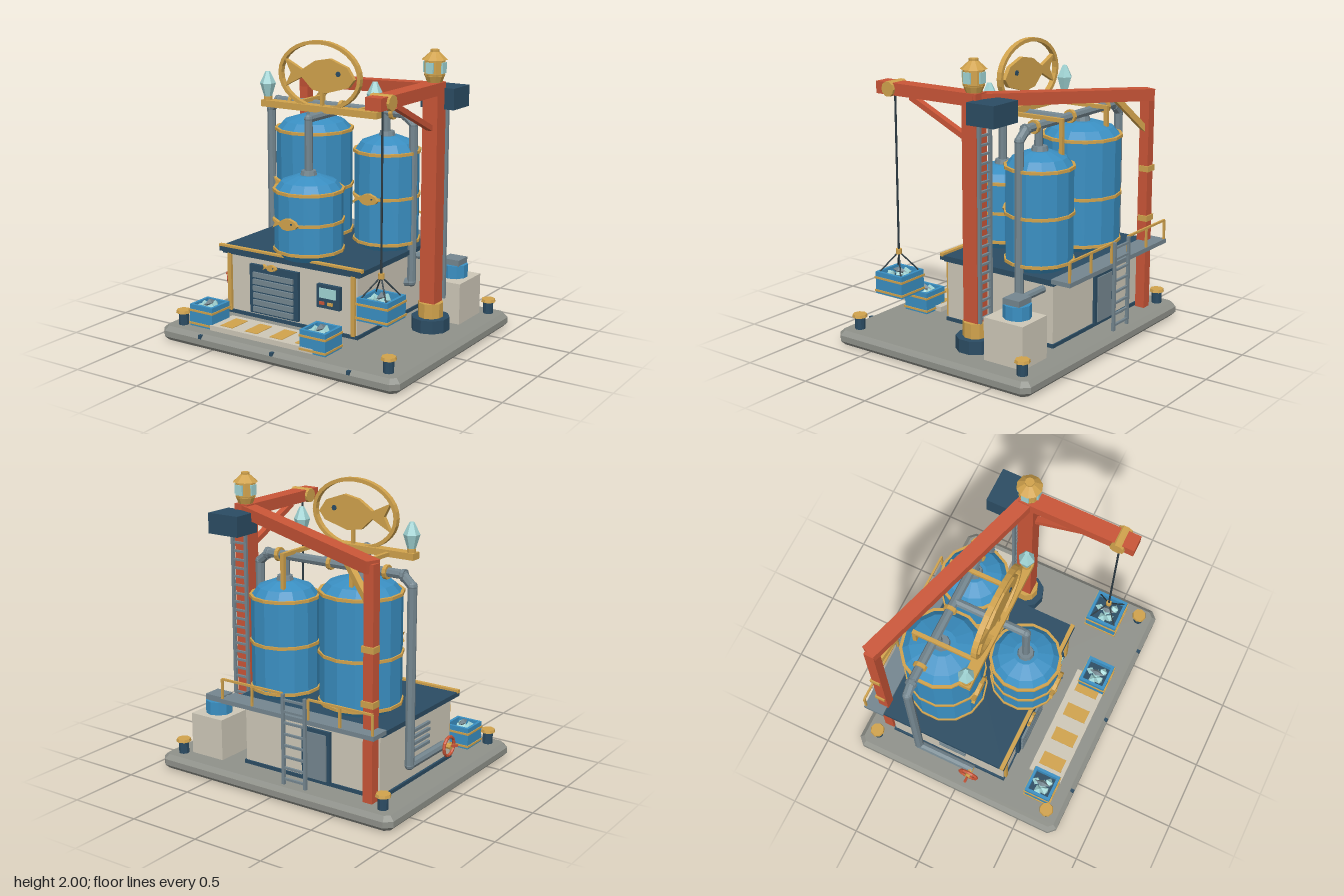
import * as THREE from 'three';

const RED = 0xc95537, GOLD = 0xd0a24c, NAVY = 0x2b4c63, BLUE = 0x3a8fc2, GREY = 0x74868f,
  BEIGE = 0xcdc7b7, STONE = 0x8f918a, ICE = 0xa0d4d4, DARK = 0x2c3a42;
const V = (x, y, z) => new THREE.Vector3(x, y, z);
const mats = {};
const mat = c => (mats[c] ??= new THREE.MeshStandardMaterial({ color: c, flatShading: true }));

export function createModel() {
  const root = new THREE.Group();
  const add = (name, geo, color, x = 0, y = 0, z = 0, parent = root) => {
    const m = new THREE.Mesh(geo, mat(color));
    m.name = name;
    m.position.set(x, y, z);
    parent.add(m);
    return m;
  };
  const group = name => {
    const g = new THREE.Group();
    g.name = name;
    root.add(g);
    return g;
  };
  // box given by its min and max corners
  const box = (name, color, x0, x1, y0, y1, z0, z1, parent) =>
    add(name, new THREE.BoxGeometry(x1 - x0, y1 - y0, z1 - z0), color,
      (x0 + x1) / 2, (y0 + y1) / 2, (z0 + z1) / 2, parent);
  // upright cylinder standing on y0
  const drum = (name, color, x, z, y0, y1, r0, r1 = r0, n = 10, parent = root) =>
    add(name, new THREE.CylinderGeometry(r1, r0, y1 - y0, n), color, x, (y0 + y1) / 2, z, parent);
  // rectangular bar between two points
  const beam = (name, color, a, b, w, h = w, parent = root) => {
    const m = add(name, new THREE.BoxGeometry(w, h, a.distanceTo(b)), color, 0, 0, 0, parent);
    m.position.copy(a).lerp(b, 0.5);
    m.lookAt(b);
    return m;
  };
  // round rods through a list of points, with ball joints at the bends
  const pipe = (name, color, pts, r, parent = root) => {
    pts.slice(1).forEach((b, i) => {
      const a = pts[i];
      const m = add(name, new THREE.CylinderGeometry(r, r, a.distanceTo(b), 8), color, 0, 0, 0, parent);
      m.position.copy(a).lerp(b, 0.5);
      m.quaternion.setFromUnitVectors(V(0, 1, 0), b.clone().sub(a).normalize());
      if (i > 0) add(name + 'Joint', new THREE.SphereGeometry(r * 1.08, 8, 6), color, a.x, a.y, a.z, parent);
    });
  };
  const ladder = (name, x, z, half, y0, y1, steps) => {
    const g = group(name);
    for (const s of [-1, 1]) box('rail', GREY, x + s * half - 0.01, x + s * half + 0.01, y0, y1, z - 0.01, z + 0.01, g);
    for (let i = 0; i < steps; i++) {
      const y = y0 + (i + 0.5) * (y1 - y0) / steps;
      box('rung', GREY, x - half, x + half, y - 0.007, y + 0.007, z - 0.008, z + 0.008, g);
    }
  };
  const fishShape = new THREE.Shape([[0.5, -0.02], [0.42, -0.12], [0.1, -0.21], [-0.1, -0.18], [-0.25, -0.04],
    [-0.5, -0.17], [-0.41, 0], [-0.5, 0.17], [-0.25, 0.05], [-0.06, 0.17], [0.15, 0.21], [0.4, 0.12]]
    .map(p => new THREE.Vector2(...p)));
  const fish = (name, x, y, z, len, depth) => {
    const m = add(name, new THREE.ExtrudeGeometry(fishShape, { depth: 1, bevelEnabled: false }), GOLD, x, y, z - depth / 2);
    m.scale.set(len, len, depth);
    const eye = add('fishEye', new THREE.CylinderGeometry(len * 0.033, len * 0.033, depth + 0.012, 8), NAVY, x + len * 0.28, y + len * 0.035, z);
    eye.rotation.x = Math.PI / 2;
  };

  // base plate with bevelled rim
  const plate = new THREE.Shape([[-0.87, -0.755], [0.87, -0.755], [0.9, -0.725], [0.9, 0.725], [0.87, 0.755],
    [-0.87, 0.755], [-0.9, 0.725], [-0.9, -0.725]].map(p => new THREE.Vector2(...p)));
  add('basePlate', new THREE.ExtrudeGeometry(plate, { depth: 0.04, bevelThickness: 0.03, bevelSize: 0.03, bevelSegments: 1 })
    .rotateX(-Math.PI / 2), STONE, 0, 0.03, 0);
  for (const x of [-0.585, 0, 0.585]) box('baseBolt', NAVY, x - 0.012, x + 0.012, 0.07, 0.095, 0.75, 0.785);
  for (const x of [-0.81, 0.81]) for (const z of [-0.67, 0.67]) {
    drum('bollard', NAVY, x, z, 0.1, 0.185, 0.035);
    drum('bollardCap', GOLD, x, z, 0.183, 0.203, 0.052, 0.047, 8);
  }
  box('loadingPad', BEIGE, -0.58, 0.25, 0.1, 0.135, 0.43, 0.675);
  for (let i = 0; i < 4; i++) box('padStripe', GOLD, -0.515 + i * 0.202, -0.415 + i * 0.202, 0.13, 0.139, 0.475, 0.645);

  // building
  box('skirt', NAVY, -0.735, 0.35, 0.1, 0.125, -0.58, 0.3);
  box('walls', BEIGE, -0.72, 0.34, 0.1, 0.535, -0.57, 0.29);
  box('eaves', NAVY, -0.75, 0.365, 0.525, 0.545, -0.59, 0.305);
  box('roof', NAVY, -0.77, 0.385, 0.54, 0.572, -0.61, 0.32);
  box('roofLip', GOLD, -0.775, 0.39, 0.565, 0.587, 0.29, 0.318);
  for (const x of [-0.695, 0.315]) box('cornerTrim', GOLD, x - 0.015, x + 0.015, 0.12, 0.53, 0.285, 0.31);

  // shutter door and control panel
  box('doorFrame', NAVY, -0.515, -0.115, 0.14, 0.485, 0.28, 0.315);
  for (let i = 0; i < 6; i++) box('doorSlat', GREY, -0.48, -0.15, 0.155 + i * 0.049, 0.19 + i * 0.049, 0.3, 0.33);
  fish('doorFish', -0.335, 0.485, 0.325, 0.11, 0.02);
  box('panel', NAVY, 0.04, 0.22, 0.28, 0.44, 0.28, 0.32);
  box('panelScreen', ICE, 0.065, 0.195, 0.352, 0.418, 0.3, 0.328);
  box('panelButton', RED, 0.065, 0.105, 0.305, 0.325, 0.3, 0.33);
  box('panelButton', GOLD, 0.13, 0.17, 0.305, 0.325, 0.3, 0.33);

  // rear door, side louvres, walkway with railing and ladder
  box('rearDoorFrame', NAVY, -0.35, -0.13, 0.12, 0.47, -0.59, -0.56);
  box('rearDoor', GREY, -0.325, -0.155, 0.13, 0.445, -0.597, -0.58);
  for (let i = 0; i < 4; i++) box('louvre', GREY, -0.74, -0.71, 0.3 + i * 0.045, 0.32 + i * 0.045, -0.2, 0);
  box('walkway', GREY, -0.785, 0.41, 0.56, 0.59, -0.745, -0.6);
  for (const [a, b] of [[-0.77, -0.29], [-0.09, 0.4]]) {
    beam('handRail', GOLD, V(a, 0.725, -0.735), V(b, 0.725, -0.735), 0.014);
    for (const x of [a, (a + b) / 2, b]) beam('railPost', GOLD, V(x, 0.59, -0.735), V(x, 0.725, -0.735), 0.014);
  }
  ladder('rearLadder', -0.19, -0.75, 0.085, 0.12, 0.73, 8);

  // tanks: x, z, radius, shoulder height, top height, band heights, fish x and y
  for (const [x, z, r, ys, yt, bands, fx, fy] of [
    [-0.39, -0.295, 0.267, 1.345, 1.44, [1.345, 0.95, 0.625], -0.44, 0.995],
    [0.175, -0.345, 0.224, 1.245, 1.345, [1.245, 0.94, 0.625], 0.15, 0.94],
    [-0.12, 0.17, 0.232, 1.035, 1.13, [1.035, 0.83, 0.63], -0.14, 0.84]]) {
    const prof = [[0, 0.57], [r * 0.78, 0.57], [r, 0.63], [r, ys], [r * 0.8, ys + (yt - ys) * 0.6], [r * 0.35, yt], [0, yt]];
    add('tank', new THREE.LatheGeometry(prof.map(p => new THREE.Vector2(...p)), 14), BLUE, x, 0, z);
    for (const y of bands) drum('tankBand', GOLD, x, z, y - 0.01, y + 0.01, r + 0.011, r + 0.011, 14);
    drum('tankCap', GREY, x, z, yt - 0.01, yt + 0.03, 0.06, 0.05);
    fish('tankFish', fx, fy, z + r + 0.01, 0.195, 0.025);
  }

  // pipework
  const hz = -0.335, hy = 1.505;
  pipe('headerPipe', GREY, [V(-0.79, 0.27, hz), V(-0.79, 1.44, hz), V(-0.72, hy, hz), V(0.31, hy, hz),
    V(0.385, 1.44, hz), V(0.385, 0.34, hz), V(0.33, 0.33, hz)], 0.031);
  pipe('drainPipe', GREY, [V(-0.79, 0.32, hz), V(-0.79, 0.27, hz), V(-0.79, 0.27, 0.09)], 0.03);
  pipe('tankPipe', GREY, [V(-0.12, 1.13, 0.17), V(-0.12, hy, 0.17), V(-0.12, hy, hz)], 0.028);
  pipe('tankPipe', GREY, [V(-0.39, 1.44, -0.31), V(-0.39, hy, -0.325)], 0.028);
  pipe('tankPipe', GREY, [V(0.175, 1.34, hz), V(0.175, hy, hz)], 0.028);
  pipe('pumpPipe', GREY, [V(0.33, 0.485, -0.49), V(0.6, 0.485, -0.49)], 0.026);
  for (const x of [-0.605, -0.185, 0.225]) add('pipeCollar', new THREE.CylinderGeometry(0.046, 0.046, 0.025, 10).rotateZ(Math.PI / 2), GOLD, x, hy, hz);
  for (const x of [-0.73, 0.32]) add('pipeFlange', new THREE.CylinderGeometry(0.04, 0.04, 0.02, 10).rotateZ(Math.PI / 2), GREY, x, hy - 0.005, hz);

  // valve wheel
  const wheel = group('valveWheel');
  wheel.position.set(-0.84, 0.275, 0.075);
  add('rim', new THREE.TorusGeometry(0.065, 0.011, 6, 12).rotateY(Math.PI / 2), RED, 0, 0, 0, wheel);
  pipe('stem', GOLD, [V(-0.02, 0, 0), V(0.06, 0, 0)], 0.02, wheel);
  beam('spoke', RED, V(0, -0.065, 0), V(0, 0.065, 0.001), 0.012, 0.012, wheel);
  beam('spoke', RED, V(0, 0, -0.065), V(0, 0, 0.065), 0.012, 0.012, wheel);

  // pump on its plinth
  box('pumpPlinth', BEIGE, 0.5, 0.76, 0.1, 0.385, -0.635, -0.335);
  drum('pump', BLUE, 0.63, -0.5, 0.385, 0.475, 0.092);
  box('pumpHead', GREY, 0.565, 0.695, 0.47, 0.515, -0.56, -0.435);

  // crane mast, arms, post and counterweight
  const mx = 0.63, mz = -0.17;
  drum('mastFoot', NAVY, mx, mz, 0.1, 0.19, 0.13);
  drum('mastCollar', GOLD, mx, mz, 0.19, 0.29, 0.085);
  box('mast', RED, mx - 0.055, mx + 0.055, 0.28, 1.77, mz - 0.055, mz + 0.055);
  ladder('mastLadder', mx, -0.25, 0.055, 0.3, 1.6, 22);
  box('counterweight', NAVY, 0.51, 0.755, 1.59, 1.73, -0.415, -0.205);
  box('boom', RED, mx - 0.057, mx + 0.057, 1.69, 1.77, -0.2, 0.58);
  beam('boomStrut', RED, V(mx, 1.685, 0.33), V(mx, 1.47, -0.13), 0.045, 0.035);
  beam('backArm', RED, V(mx, 1.725, mz), V(-0.7, 1.61, -0.635), 0.1, 0.08);
  box('rearPost', RED, -0.72, -0.65, 0.1, 1.63, -0.66, -0.59);
  for (const y of [0.75, 1.1]) box('postClamp', GOLD, -0.73, -0.64, y - 0.02, y + 0.02, -0.67, -0.6);
  beam('postBrace', GOLD, V(-0.67, 1.37, -0.62), V(-0.44, 1.6, -0.535), 0.04);

  // lantern on the mast
  drum('lanternFoot', GOLD, mx, mz, 1.77, 1.82, 0.05, 0.07);
  drum('lanternBody', GOLD, mx, mz, 1.81, 1.92, 0.068);
  drum('lanternRoof', GOLD, mx, mz, 1.915, 1.965, 0.085, 0.03);
  drum('lanternTip', GOLD, mx, mz, 1.96, 1.98, 0.03);
  box('lanternWindow', ICE, mx - 0.026, mx + 0.026, 1.83, 1.9, mz - 0.073, mz + 0.073);
  box('lanternWindow', ICE, mx - 0.073, mx + 0.073, 1.83, 1.9, mz - 0.026, mz + 0.026);

  // hoist
  add('pulley', new THREE.CylinderGeometry(0.05, 0.05, 0.15, 10).rotateZ(Math.PI / 2), GOLD, mx, 1.73, 0.47);
  pipe('cable', DARK, [V(mx, 1.7, 0.47), V(mx, 0.63, 0.47)], 0.007);
  drum('hook', GOLD, mx, 0.47, 0.615, 0.65, 0.02);
  for (const sx of [-1, 1]) for (const sz of [-1, 1])
    pipe('sling', DARK, [V(mx, 0.63, 0.47), V(mx + sx * 0.095, 0.49, 0.47 + sz * 0.095)], 0.005);

  // open crates filled with ice and fish
  for (const [x, y, z, w] of [[mx, 0.35, 0.467, 0.225], [-0.665, 0.1, 0.57, 0.19], [0.247, 0.1, 0.577, 0.195]]) {
    const g = group('crate');
    g.position.set(x, y, z);
    const h = w / 2, t = 0.02;
    box('floor', NAVY, -h + 0.01, h - 0.01, 0, 0.095, -h + 0.01, h - 0.01, g);
    for (const s of [-1, 1]) {
      add('side', new THREE.BoxGeometry(t, 0.15, w), BLUE, s * (h - t / 2), 0.075, 0, g);
      add('side', new THREE.BoxGeometry(w - 2 * t, 0.15, t), BLUE, 0, 0.075, s * (h - t / 2), g);
      for (const by of [0.02, 0.11]) {
        add('band', new THREE.BoxGeometry(0.012, 0.014, w + 0.012), GOLD, s * h, by, 0, g);
        add('band', new THREE.BoxGeometry(w + 0.012, 0.014, 0.012), GOLD, 0, by, s * h, g);
      }
    }
    for (let i = 0; i < 5; i++) {
      const a = i * 2.4, d = i ? h * 0.5 : 0;
      add('iceChunk', new THREE.OctahedronGeometry(0.036), ICE, Math.cos(a) * d, 0.125, Math.sin(a) * d, g).rotation.set(a, i, 0);
    }
    const catchFish = add('catch', new THREE.OctahedronGeometry(0.03), GREY, 0, 0.15, 0, g);
    catchFish.scale.set(0.8, 0.9, 2);
  }

  // roof sign: bar, oval ring, fish and crystal lamps
  box('signBar', GOLD, -0.62, 0.31, 1.52, 1.565, -0.055, 0.02);
  const oval = new THREE.Shape().absellipse(-0.155, 1.765, 0.328, 0.235, 0, Math.PI * 2);
  oval.holes.push(new THREE.Path().absellipse(-0.155, 1.765, 0.303, 0.21, 0, Math.PI * 2, true));
  add('signRing', new THREE.ExtrudeGeometry(oval, { depth: 0.036, bevelEnabled: false, curveSegments: 16 }), GOLD, 0, 0, -0.036);
  fish('signFish', -0.155, 1.768, -0.018, 0.555, 0.03);
  box('signStem', GOLD, -0.148, -0.128, 1.56, 1.68, -0.03, -0.008);
  for (const x of [-0.43, 0.1]) {
    beam('signArm', GOLD, V(x, 1.54, -0.03), V(x, 1.54, -0.475), 0.026);
    beam('signLeg', GOLD, V(x, 1.54, -0.462), V(x, 1.25, -0.4621), 0.026);
  }
  for (const x of [-0.585, 0.275]) {
    drum('lampFoot', GOLD, x, -0.018, 1.56, 1.59, 0.03);
    drum('lampCrystal', ICE, x, -0.018, 1.585, 1.68, 0.026, 0.055, 6);
    drum('lampCrystal', ICE, x, -0.018, 1.68, 1.76, 0.055, 0.016, 6);
  }
  return root;
}
